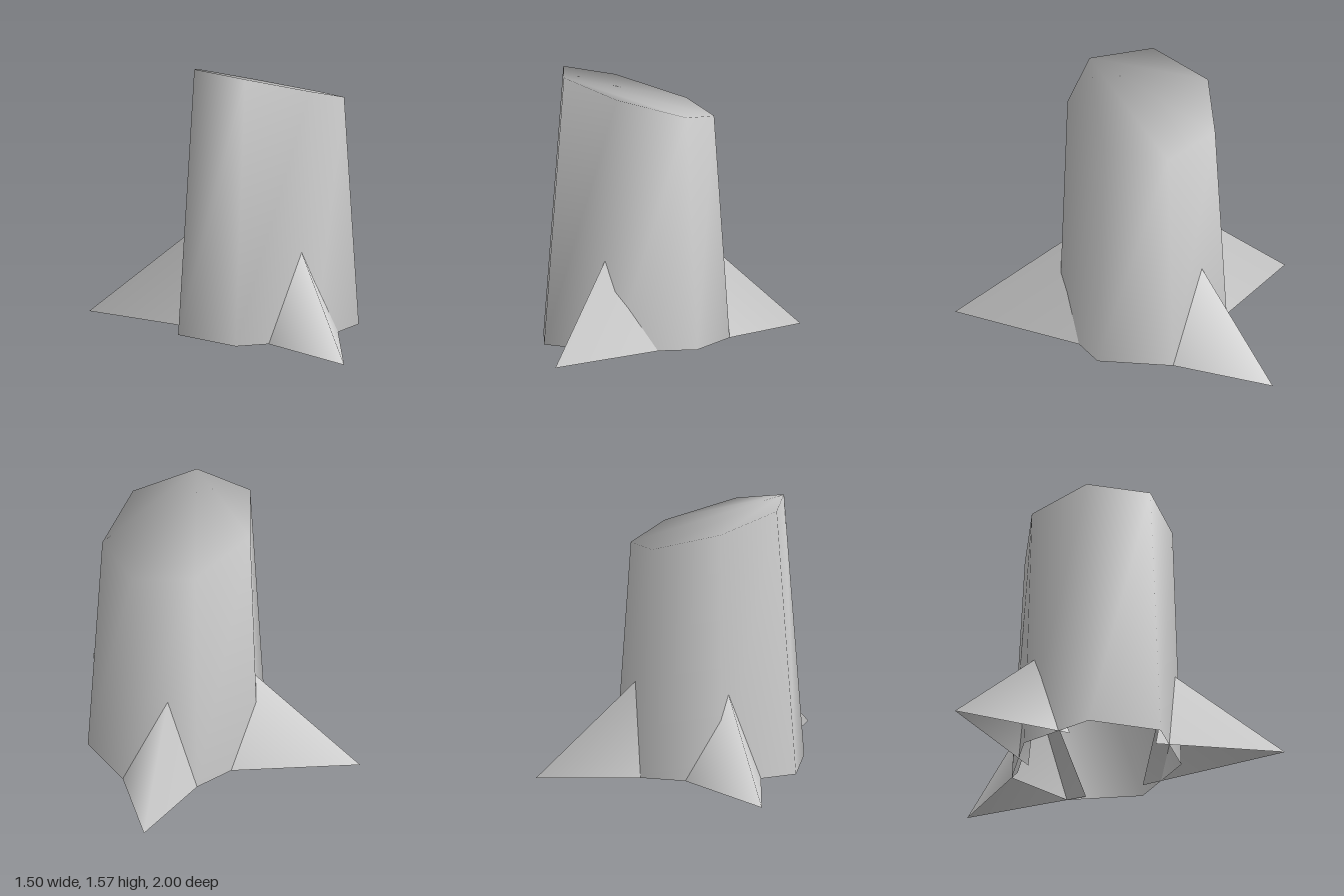
import * as THREE from 'three';

const bark = new THREE.MeshStandardMaterial({ color: 0xcccccc, side: THREE.DoubleSide });
bark.name = 'bark grey';

// Smooth mesh from shared corners
function smoothMesh(name, points, faces) {
  const geometry = new THREE.BufferGeometry();
  geometry.setAttribute('position', new THREE.Float32BufferAttribute(points.flat(), 3));
  geometry.setIndex(faces.flat());
  geometry.computeVertexNormals();
  const mesh = new THREE.Mesh(geometry, bark);
  mesh.name = name;
  return mesh;
}

// Seven-sided tapering trunk, open below, closed by a slanted cut
function makeTrunk() {
  const base = [[0.33, 0], [0.14, 0.4], [-0.34, 0.48], [-0.75, 0.22], [-0.75, -0.22], [-0.34, -0.48], [0.14, -0.4]];
  const rim = [[0.24, 0], [0.08, 0.34], [-0.33, 0.43], [-0.635, 0.195], [-0.635, -0.195], [-0.33, -0.43], [0.08, -0.34]];
  const cutHeight = (x) => 1.382 - 0.297 * x;
  const n = base.length;
  const points = [
    ...base.map(([x, z]) => [x, 0, z]),
    ...rim.map(([x, z]) => [x, cutHeight(x), z]),
  ];
  const faces = [];
  for (let i = 0; i < n; i++) {
    const j = (i + 1) % n;
    faces.push([i, n + i, j], [j, n + i, n + j]);
  }
  // Cut surface, fanned from one rim corner
  for (let k = 1; k < n - 1; k++) {
    faces.push([n + 3, n + ((3 + k + 1) % n), n + ((3 + k) % n)]);
  }
  return smoothMesh('trunk', points, faces);
}

// Root: two faces meeting on a ridge from the tip up to a peak inside the trunk
function makeRoot(name, tip, peak, cornerA, cornerB) {
  return smoothMesh(name, [tip, peak, cornerA, cornerB], [[0, 2, 1], [0, 1, 3]]);
}

export function createModel() {
  const stump = new THREE.Group();
  stump.name = 'treeStump';
  stump.add(
    makeTrunk(),
    makeRoot('frontRoot', [-0.69, 0, 1], [-0.38, 0.56, 0.39], [0, 0, 0.355], [-0.567, 0, 0.25]),
    makeRoot('backRoot', [-0.635, 0, -1], [-0.36, 0.56, -0.39], [-0.55, 0, -0.27], [-0.05, 0, -0.36]),
    makeRoot('leftRoot', [0.745, 0, -0.475], [0.14, 0.58, -0.2], [0.06, 0, -0.39], [0.25, 0, 0.09]),
  );
  return stump;
}
